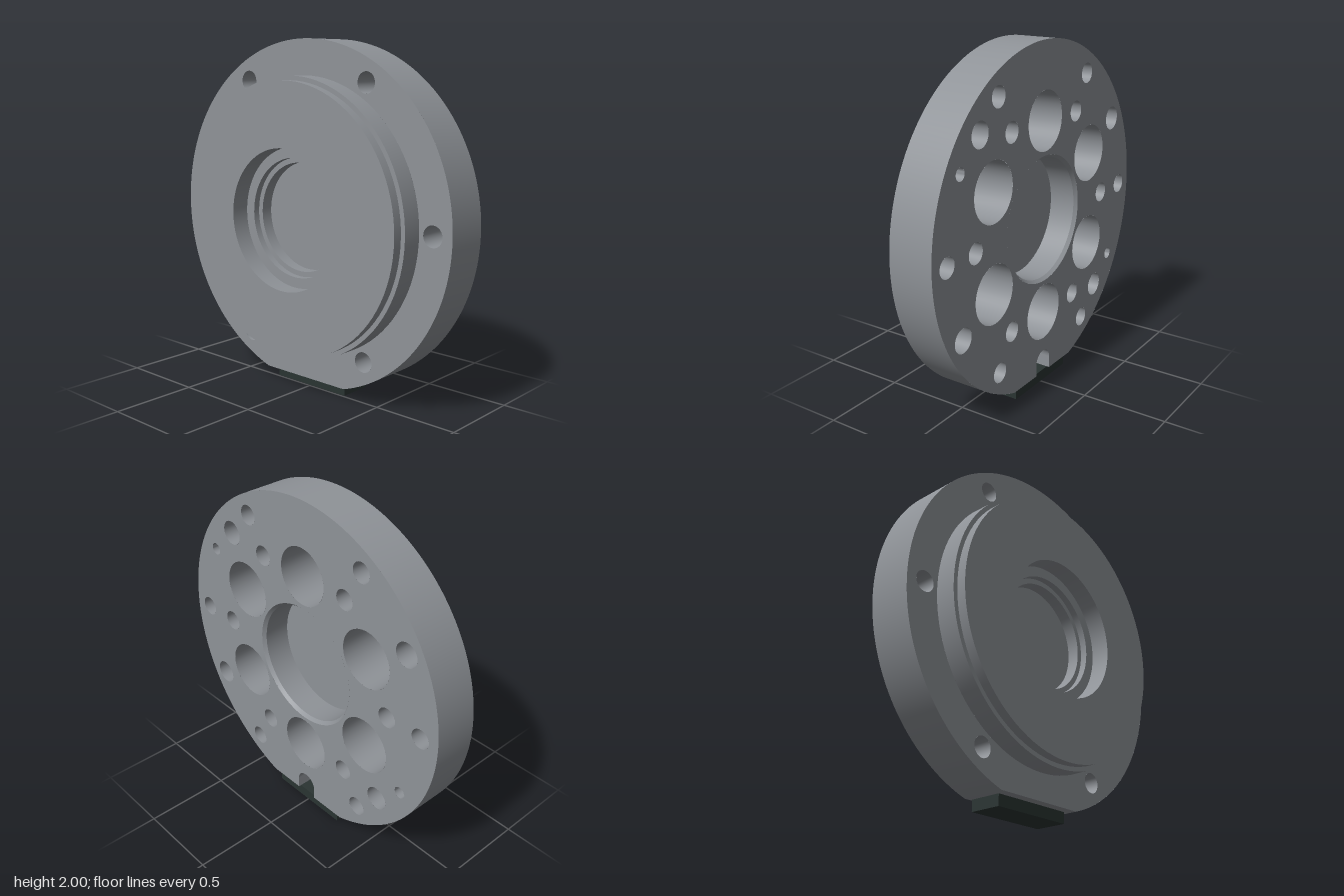
import * as THREE from 'three';
import { toCreasedNormals } from 'three/addons/utils/BufferGeometryUtils.js';

const CY = 1.01;            // height of the disc axis, which runs along x
const R = 0.99;             // disc radius
const FRONT = 0.215, BACK = -0.045, SLOT = 0.115;
const FLAT = -0.945;        // bottom flat, relative to the axis
const SW = 0.07;            // slot half width

export function createModel() {
  const model = new THREE.Group();
  const steel = new THREE.MeshStandardMaterial({ color: 0x8f9398, side: THREE.DoubleSide });
  steel.name = 'machined steel';
  const dark = new THREE.MeshStandardMaterial({ color: 0x2a3432 });
  dark.name = 'dark green pad';

  const add = (name, geometry, material = steel) => {
    const mesh = new THREE.Mesh(geometry, material);
    mesh.name = name;
    model.add(mesh);
    return mesh;
  };

  // surface turned about the x direction; profile holds [radius, x], z and y are offsets from the axis
  const turn = (name, profile, z = 0, y = 0, segments = 32) => {
    const g = new THREE.LatheGeometry(profile.map(p => new THREE.Vector2(...p)), segments);
    g.rotateZ(-Math.PI / 2);
    add(name, toCreasedNormals(g, 0.5)).position.set(0, CY + y, z);
  };

  // flat face in the plane of x; facing +1 looks to +x
  const face = (name, shape, x, facing) => {
    const g = new THREE.ShapeGeometry(shape, 64);
    g.rotateY(facing * Math.PI / 2);
    add(name, g).position.set(x, CY, 0);
  };

  // wall following an outline between two x positions
  const wall = (name, pts, x0, x1) => {
    const n = pts.length;
    const g = new THREE.PlaneGeometry(1, 1, n - 1, 1);
    const pos = g.attributes.position;
    for (let i = 0; i < n; i++) {
      pos.setXYZ(i, x1, pts[i].y, -pts[i].x);
      pos.setXYZ(n + i, x0, pts[i].y, -pts[i].x);
    }
    add(name, toCreasedNormals(g, 0.5)).position.y = CY;
  };

  // hole list: z and y from the axis, radius, x of the bottom, depth of the drill point
  const holes = [];
  for (let i = 0; i < 6; i++) {
    const a = i * Math.PI / 3, b = a + Math.PI / 6;
    const c = Math.cos(a), s = Math.sin(a);
    holes.push({ name: 'mountingHole', z: 0.873 * c, y: 0.873 * s, r: 0.058, end: BACK, through: true });
    holes.push({ name: 'screwHole', z: 0.642 * c, y: 0.642 * s, r: 0.059, end: 0.06, tip: 0.03 });
    holes.push({ name: 'largePocket', z: 0.557 * Math.cos(b), y: 0.557 * Math.sin(b), r: 0.168, end: -0.06, tip: 0 });
  }
  for (const [z, y] of [[0.594, 0.595], [-0.753, 0.44], [0.757, -0.432], [-0.59, -0.59]])
    holes.push({ name: 'threadedHole', z, y, r: 0.07, end: 0.05, tip: 0.035 });
  for (const s of [1, -1])
    holes.push({ name: 'pinHole', z: 0.757 * s, y: 0.435 * s, r: 0.035, end: 0.1, tip: 0.02 });

  for (const h of holes) {
    const profile = [[h.r, FRONT], [h.r, h.end]];
    if (!h.through) profile.push([0, h.end - h.tip]);
    turn(h.name, profile, h.z, h.y);
  }

  const cut = (shape, x, y, r) => shape.holes.push(new THREE.Path().absarc(x, y, r, 0, Math.PI * 2, true));

  // disc outline with a bottom flat
  const a0 = -Math.asin(-FLAT / R);
  const outline = () => new THREE.Shape().absarc(0, 0, R, a0, Math.PI - a0, false);
  const slotTop = FLAT + 0.14 - SW;
  const slot = new THREE.Shape();
  slot.moveTo(-SW, FLAT);
  slot.lineTo(-SW, slotTop);
  slot.absarc(0, slotTop, SW, Math.PI, 0, true);
  slot.lineTo(SW, FLAT);

  // front face with the slot and every hole
  const front = outline();
  front.lineTo(-SW, FLAT);
  front.lineTo(-SW, slotTop);
  front.absarc(0, slotTop, SW, Math.PI, 0, true);
  front.lineTo(SW, FLAT);
  cut(front, 0, 0, 0.366);
  for (const h of holes) cut(front, -h.z, h.y, h.r);
  face('frontFace', front, FRONT, 1);

  // back face of the rim
  const back = outline();
  cut(back, 0, 0, 0.79);
  for (const h of holes) if (h.through) cut(back, h.z, h.y, h.r);
  face('rimBackFace', back, BACK, -1);

  // rim wall, bottom flat and slot
  const left = new THREE.Vector2(-SW, FLAT), right = new THREE.Vector2(SW, FLAT);
  wall('rim', [right, ...outline().getPoints(96), left], BACK, FRONT);
  wall('bottomFlat', [left, right], BACK, SLOT);
  wall('slotWall', slot.getPoints(24), SLOT, FRONT);
  face('slotEnd', slot, SLOT, 1);

  // stepped shoulder with its stepped bore
  turn('shoulder', [
    [0, 0], [0.31, 0], [0.31, -0.07], [0.34, -0.07], [0.34, -0.11], [0.40, -0.11],
    [0.40, -0.22], [0.765, -0.22], [0.765, -0.165], [0.79, -0.165], [0.79, BACK],
  ], 0, 0, 96);

  // chamfered central pocket
  turn('centrePocket', [[0.366, FRONT], [0.35, 0.195], [0.35, 0.04], [0, 0.04]], 0, 0, 64);

  // pad under the flat
  add('footPad', new THREE.BoxGeometry(0.19, 0.065, 0.514), dark).position.set(0.105, 0.0325, 0);

  return model;
}
